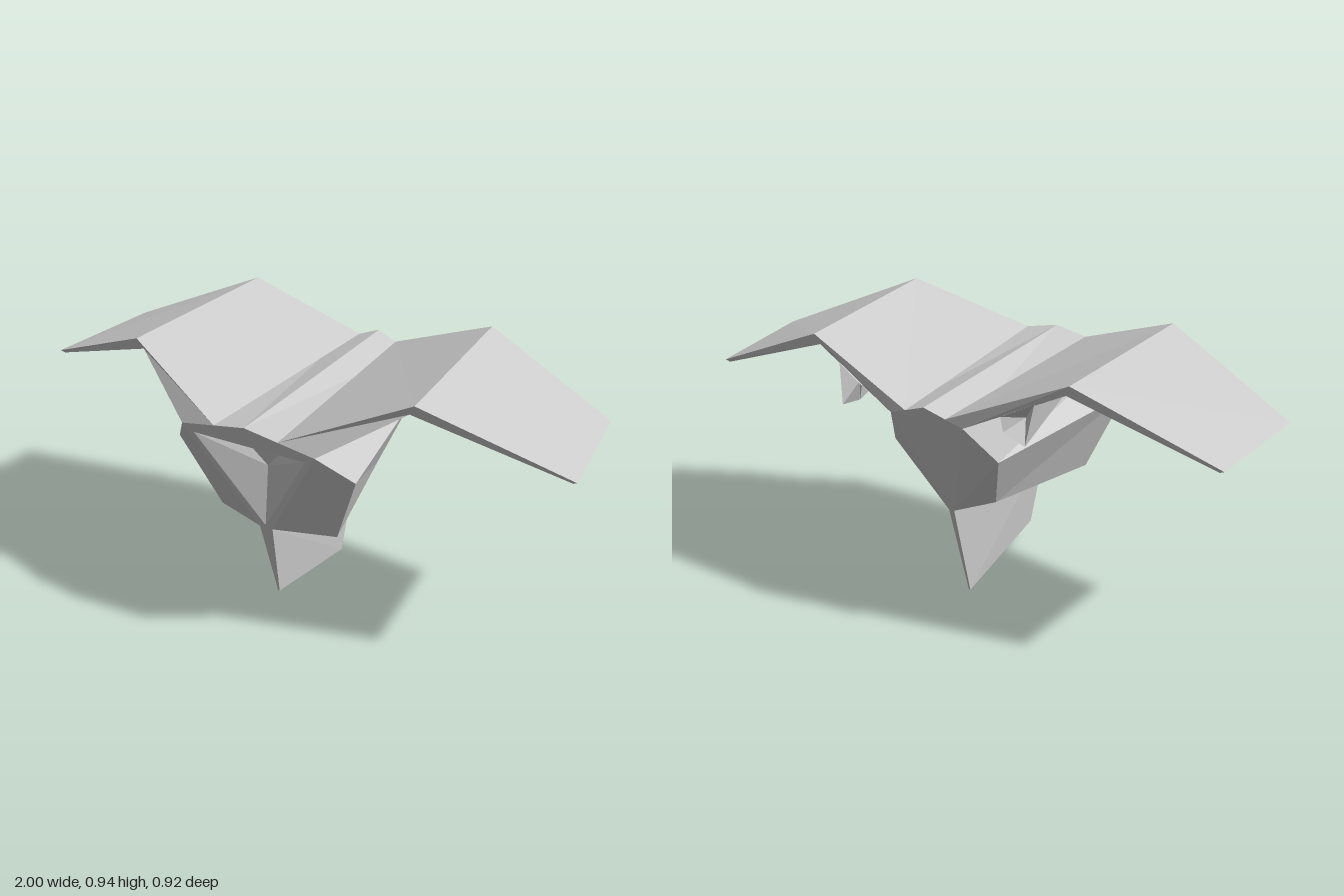
import * as THREE from 'three';

const material = new THREE.MeshStandardMaterial({ color: 0xcccccc, flatShading: true });

// Flat panels (corner lists, counter-clockwise from outside), optionally mirrored in x
function panelMesh(name, panels, sides = [1, -1]) {
  const pos = [];
  for (const s of sides) {
    for (const p of panels) {
      for (let i = 1; i < p.length - 1; i++) {
        const tri = s > 0 ? [p[0], p[i], p[i + 1]] : [p[0], p[i + 1], p[i]];
        for (const [x, y, z] of tri) pos.push(s * x, y, z);
      }
    }
  }
  const geo = new THREE.BufferGeometry();
  geo.setAttribute('position', new THREE.Float32BufferAttribute(pos, 3));
  geo.computeVertexNormals();
  const mesh = new THREE.Mesh(geo, material);
  mesh.name = name;
  return mesh;
}

// Panels joining a series of equal-length rings
function loft(rings) {
  const panels = [];
  for (let i = 0; i < rings.length - 1; i++) {
    const a = rings[i], b = rings[i + 1], n = a.length;
    for (let j = 0; j < n; j++) {
      const k = (j + 1) % n;
      panels.push([a[j], a[k], b[k], b[j]]);
    }
  }
  return panels;
}

export function createModel() {
  const model = new THREE.Group();

  // Half outlines of the hull ends: ridge, shoulder, flank, chine, keel, keel centre
  const front = [[0, 0.805, 0.46], [0.25, 0.755, 0.445], [0.34, 0.64, 0.34],
    [0.23, 0.365, 0.26], [0.025, 0.375, 0.34], [0, 0.375, 0.34]];
  const rear = [[0, 0.805, -0.46], [0.135, 0.755, -0.445], [0.2, 0.605, -0.33],
    [0.13, 0.4, -0.225], [0.01, 0.37, -0.3], [0, 0.37, -0.3]];
  const [fRidge, fShoulder, fFlank, fChine, fKeel, fMid] = front;
  const [rRidge, rShoulder, rFlank, rChine, rKeel, rMid] = rear;

  // Hull sides, chamfered ends and closed stern
  const hull = [];
  for (let i = 0; i < 4; i++) hull.push([front[i], front[i + 1], rear[i + 1], rear[i]]);
  hull.push([fShoulder, fKeel, fChine, fFlank]);
  hull.push([rFlank, rChine, rKeel, rShoulder]);
  hull.push([rRidge, rShoulder, rKeel, rMid]);

  // Rim around the triangular intake
  const outer = [0.21, 0.727, 0.437], outerMid = [0, 0.727, 0.437], outerLow = [0, 0.385, 0.343];
  hull.push([fRidge, outerMid, outer, fShoulder]);
  hull.push([fShoulder, outer, outerLow, fMid, fKeel]);
  model.add(panelMesh('hull', hull));

  // Recessed intake
  const inner = [0.105, 0.727, 0.35], innerMid = [0, 0.727, 0.35], innerLow = [0, 0.605, 0.32];
  model.add(panelMesh('intake', [
    [outerMid, innerMid, inner, outer],
    [outer, inner, innerLow, outerLow],
    [innerMid, innerLow, inner],
  ]));

  // Keel fin
  const finF = [0.003, 0.075, 0.265], finR = [0.003, 0, -0.187];
  const finFMid = [0, 0.075, 0.265], finRMid = [0, 0, -0.187];
  model.add(panelMesh('keelFin', [
    [fKeel, finF, finR, rKeel],
    [fMid, finFMid, finF, fKeel],
    [rKeel, finR, finRMid, rMid],
    [finF, finFMid, finRMid, finR],
  ]));

  // Wing stations: top front, bottom front, bottom rear, top rear
  const root = [[0.12, 0.781, 0.453], fShoulder, rShoulder, [0.075, 0.777, -0.452]];
  const bend = [[0.52, 0.945, 0.31], [0.5, 0.908, 0.3], [0.46, 0.908, -0.375], [0.475, 0.945, -0.385]];
  const tip = [[1, 0.738, 0.155], [0.985, 0.73, 0.15], [0.935, 0.73, -0.295], [0.95, 0.738, -0.3]];
  const wing = [...loft([root, bend, tip]), tip];

  // Tapered pod under each wing with a dished nozzle
  const nose = [0.32, 0.825, 0.01], dish = [0.315, 0.8, -0.36];
  const nozzle = [[0.365, 0.868, -0.4], [0.345, 0.73, -0.42], [0.27, 0.765, -0.425], [0.26, 0.815, -0.425]];
  const pod = [];
  nozzle.forEach((p, i) => {
    const q = nozzle[(i + 1) % nozzle.length];
    pod.push([nose, q, p], [p, q, dish]);
  });

  for (const [label, s] of [['left', 1], ['right', -1]]) {
    model.add(panelMesh(label + 'Wing', wing, [s]));
    model.add(panelMesh(label + 'Pod', pod, [s]));
  }
  return model;
}
